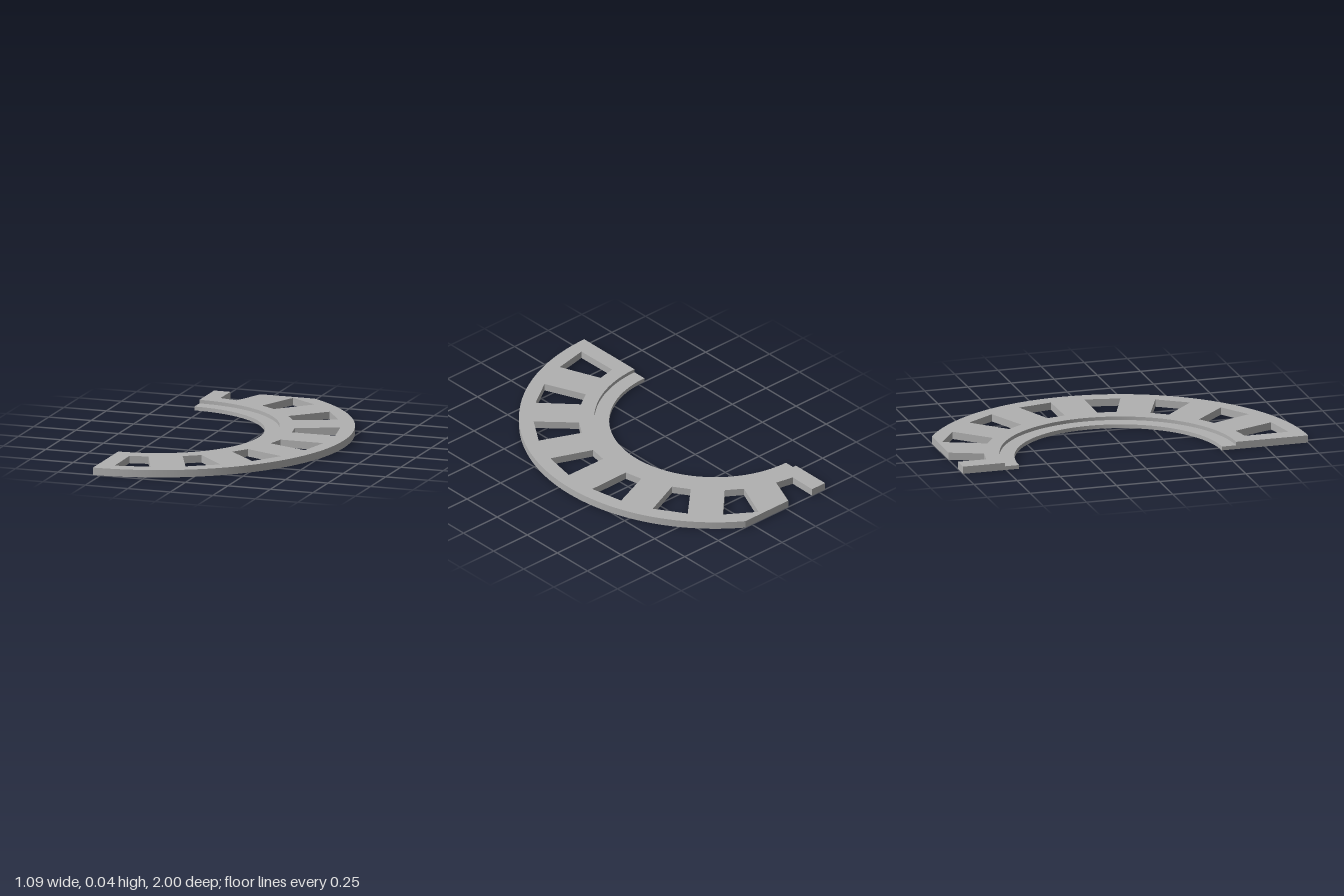
import * as THREE from 'three';
import { toCreasedNormals } from 'three/addons/utils/BufferGeometryUtils.js';

const CX = -0.544, CY = 0.0875;            // arc centre in plan (plan y = -z)
const R_IN = 0.5875, R_STEP = 0.67, R_OUT = 1.0875;
const CUT = 1;                             // flat trimmed back edge
const HEIGHT = 0.042, LEDGE = 0.022;
const rad = THREE.MathUtils.degToRad;

// plan point from radius and angle, with a sideways offset
const at = (r, a, side = 0) => new THREE.Vector2(
  CX + r * Math.cos(a) - side * Math.sin(a),
  CY + r * Math.sin(a) + side * Math.cos(a));

// trapezoid window corners: inner right, outer right, outer left, inner left
const windowCorners = a => [at(0.754, a, -0.0535), at(1.002, a, -0.1), at(1.002, a, 0.1), at(0.754, a, 0.0535)];

// point where the line p-q meets the trimmed back edge
const onCut = (p, q) => p.clone().lerp(q, (CUT - p.y) / (q.y - p.y));

function slab(shape, height, material, name) {
  const geo = new THREE.ExtrudeGeometry(shape, { depth: height, bevelEnabled: false, curveSegments: 96 });
  geo.rotateX(-Math.PI / 2);
  const mesh = new THREE.Mesh(toCreasedNormals(geo, rad(25)), material);
  mesh.name = name;
  return mesh;
}

export function createModel() {
  const group = new THREE.Group();
  group.name = 'slottedHalfRing';
  const grey = new THREE.MeshStandardMaterial({ color: 0xb0b0b0 });
  grey.name = 'grey';

  // Slotted plate: outer arc, trimmed back edge with an open window, step arc
  const [ir, or, ol, il] = windowCorners(rad(78.75));
  const cutR = onCut(ir, or), cutL = onCut(il, ol);
  const plate = new THREE.Shape();
  plate.moveTo(CX, CY - R_STEP);
  plate.lineTo(CX, CY - R_OUT);
  plate.absarc(CX, CY, R_OUT, -Math.PI / 2, Math.asin((CUT - CY) / R_OUT), false);
  for (const p of [cutR, ir, il, cutL]) plate.lineTo(p.x, p.y);
  plate.lineTo(CX, CUT);
  plate.lineTo(CX, CY + R_STEP);
  plate.absarc(CX, CY, R_STEP, Math.PI / 2, -Math.PI / 2, true);

  // Seven closed windows
  for (let i = 0; i < 7; i++) {
    plate.holes.push(new THREE.Path(windowCorners(rad(-78.75 + 22.5 * i)).reverse()));
  }
  group.add(slab(plate, HEIGHT, grey, 'slottedPlate'));

  // Lower ledge along the inside
  const ledge = new THREE.Shape();
  ledge.moveTo(CX, CY - R_IN);
  ledge.lineTo(CX, CY - R_STEP);
  ledge.absarc(CX, CY, R_STEP, -Math.PI / 2, Math.PI / 2, false);
  ledge.lineTo(CX, CY + R_IN);
  ledge.absarc(CX, CY, R_IN, Math.PI / 2, -Math.PI / 2, true);
  group.add(slab(ledge, LEDGE, grey, 'innerLedge'));

  return group;
}
